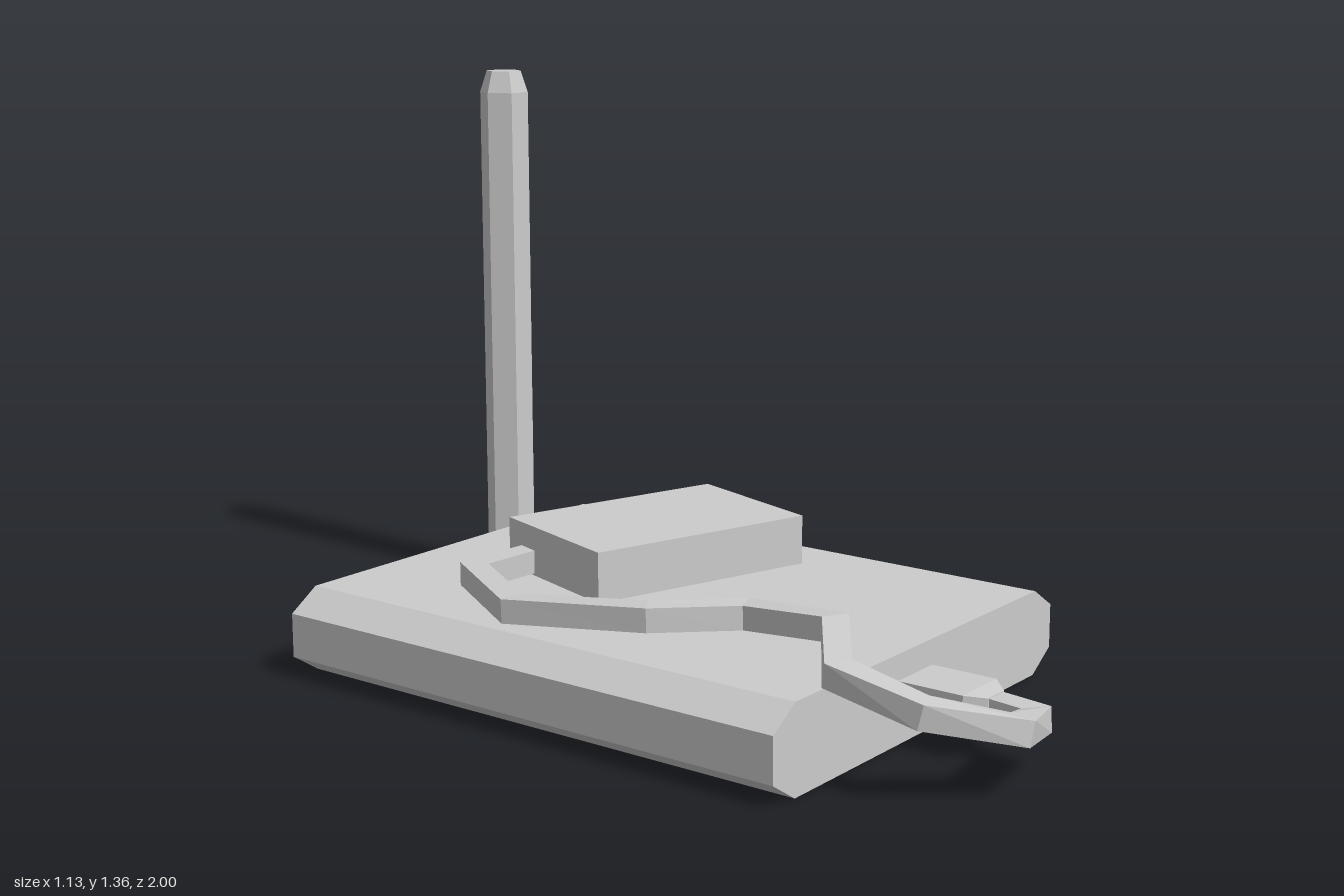
import * as THREE from 'three';

const material = new THREE.MeshStandardMaterial({ color: 0xcccccc, flatShading: true });

function part(name, geometry, x = 0, y = 0, z = 0) {
  const mesh = new THREE.Mesh(geometry, material);
  mesh.name = name;
  mesh.position.set(x, y, z);
  return mesh;
}

// Rectangular ring of four corners around a centre
function ring(centre, side, up) {
  return [[1, 1], [-1, 1], [-1, -1], [1, -1]].map(([s, u]) =>
    centre.clone().addScaledVector(side, s).addScaledVector(up, u));
}

// Joins four-cornered rings with flat faces and closes both ends
function loft(rings) {
  const points = [];
  const quad = (a, b, c, d) => points.push(a, b, c, a, c, d);
  for (let i = 0; i < rings.length - 1; i++) {
    for (let k = 0; k < 4; k++) {
      const n = (k + 1) % 4;
      quad(rings[i][k], rings[i][n], rings[i + 1][n], rings[i + 1][k]);
    }
  }
  quad(...[...rings[0]].reverse());
  quad(...rings[rings.length - 1]);
  const geometry = new THREE.BufferGeometry().setFromPoints(points);
  geometry.computeVertexNormals();
  return geometry;
}

// Square cable with mitred bends along a path
function cableGeometry(path, halfWidth, halfHeight) {
  const pts = path.map((p) => new THREE.Vector3(...p));
  const last = pts.length - 1;
  const rings = pts.map((p, i) => {
    const before = p.clone().sub(pts[Math.max(i - 1, 0)]);
    const after = pts[Math.min(i + 1, last)].clone().sub(p);
    if (i === 0) before.copy(after);
    if (i === last) after.copy(before);
    before.normalize();
    after.normalize();
    const tangent = before.clone().add(after).normalize();
    const side = new THREE.Vector3(tangent.z, 0, -tangent.x).normalize();
    const up = tangent.clone().cross(side);
    const mitre = 1 / tangent.dot(after);
    return ring(p, side.multiplyScalar(halfWidth * mitre), up.multiplyScalar(halfHeight));
  });
  return loft(rings);
}

export function createModel() {
  const model = new THREE.Group();
  model.name = 'transmitter';

  // Flat case with chamfered long edges
  const profile = new THREE.Shape([
    [-0.49, 0], [0.49, 0], [0.567, 0.05], [0.567, 0.155],
    [0.49, 0.205], [-0.49, 0.205], [-0.567, 0.155], [-0.567, 0.05],
  ].map(([x, y]) => new THREE.Vector2(x, y)));
  model.add(part('case',
    new THREE.ExtrudeGeometry(profile, { depth: 1.375, bevelEnabled: false }), 0, 0, -0.775));

  // Module lying askew on top
  const topBox = part('topBox', new THREE.BoxGeometry(0.588, 0.125, 0.398), 0.14, 0.2625, -0.25);
  topBox.rotation.y = -0.311;
  model.add(topBox);

  // Antenna with tapered tip, and its bracket at the back
  const antenna = new THREE.Group();
  antenna.name = 'antenna';
  antenna.position.set(0.39, 0, -0.945);
  const hex = (top, bottom, height, open) =>
    new THREE.CylinderGeometry(top, bottom, height, 6, 1, open, Math.PI / 6);
  antenna.add(
    part('antennaRod', hex(0.063, 0.063, 1.275, false), 0, 0.6675, 0),
    part('antennaTip', hex(0.045, 0.063, 0.055, false), 0, 1.3325, 0),
    part('antennaBracket', new THREE.BoxGeometry(0.05, 0.115, 0.15), 0, 0.1175, 0.11),
  );
  model.add(antenna);

  // Plug at the front, narrowing towards the cable
  const plugRings = [[0.58, 0.07, 0.04], [0.76, 0.07, 0.04], [0.8, 0.033, 0.032]].map(([z, w, h]) =>
    ring(new THREE.Vector3(-0.035, 0.105, z), new THREE.Vector3(w, 0, 0), new THREE.Vector3(0, h, 0)));
  model.add(part('plug', loft(plugRings)));

  // Cable from the plug back to the top box
  model.add(part('cable', cableGeometry([
    [-0.033, 0.107, 0.79], [-0.055, 0.108, 0.908], [-0.23, 0.15, 0.967], [-0.37, 0.195, 0.825],
    [-0.368, 0.235, 0.618], [-0.185, 0.264, 0.49], [-0.17, 0.245, 0.245], [-0.343, 0.255, 0.105],
    [-0.425, 0.235, -0.215], [-0.27, 0.235, -0.47], [-0.06, 0.24, -0.442],
  ], 0.029, 0.028)));

  return model;
}
